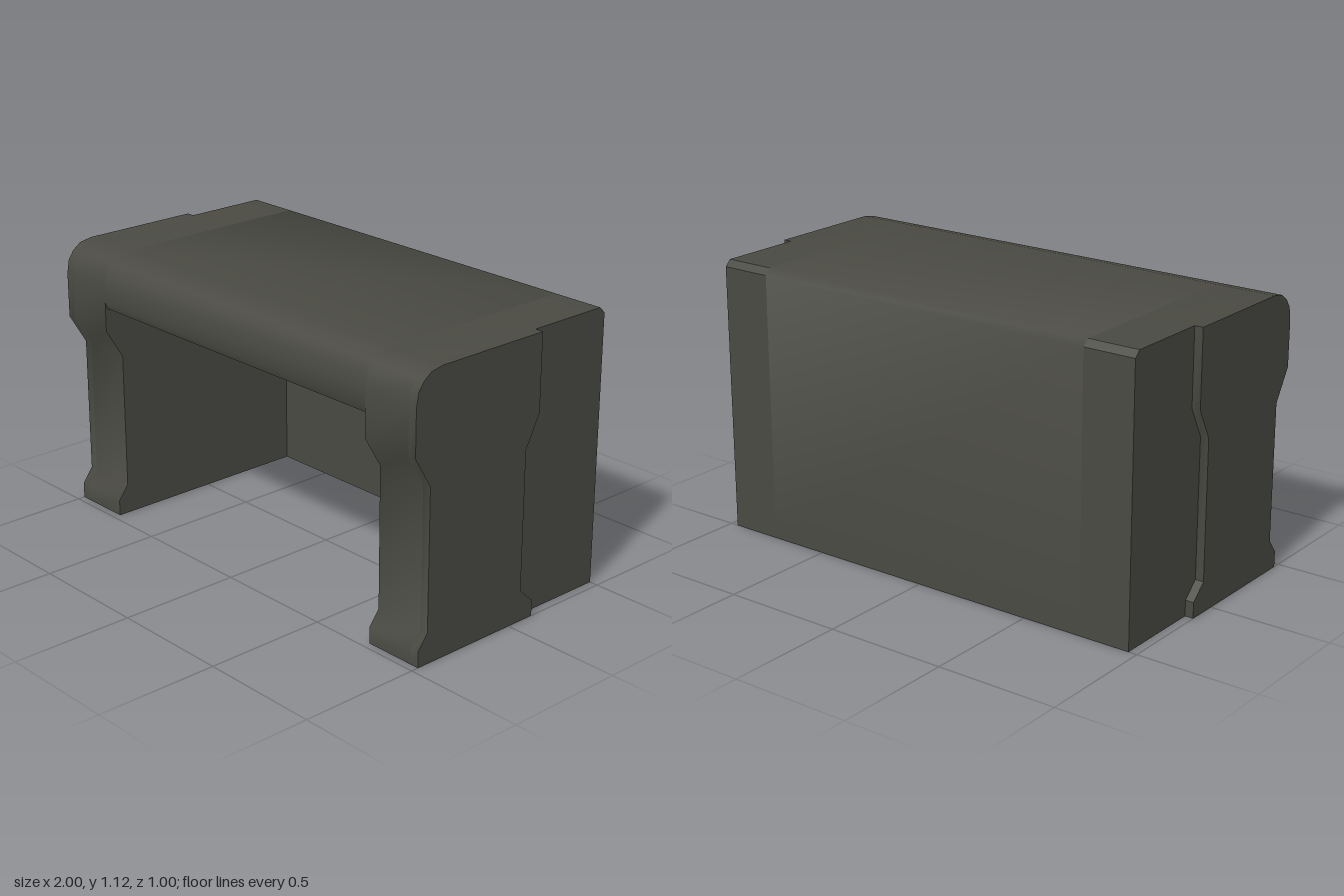
import * as THREE from 'three';
import { toCreasedNormals } from 'three/addons/utils/BufferGeometryUtils.js';

const charcoal = new THREE.MeshStandardMaterial({ color: 0x4a4a43 });
charcoal.name = 'charcoal';

// Profiles are [z, y] points, extruded across x.
const roundedNose = [[0.5, 1.0], [0.49, 1.055], [0.465, 1.09], [0.43, 1.115], [0.375, 1.125]];
const legFront = [[0.47, 0], [0.47, 0.065], [0.425, 0.125], [0.425, 0.69], [0.5, 0.815], ...roundedNose];
const backEdge = [[-0.475, 1.125], [-0.5, 1.1], [-0.5, 0]];
const panelStep = [[-0.125, 1.125], [-0.125, 0.815], [-0.06, 0.69], [-0.06, 0.125], [-0.125, 0.065], [-0.125, 0]];

function slab(name, profile, x0, x1, crease) {
  const shape = new THREE.Shape(profile.map(([z, y]) => new THREE.Vector2(z, y)));
  const geometry = new THREE.ExtrudeGeometry(shape, { depth: x1 - x0, bevelEnabled: false });
  geometry.rotateY(-Math.PI / 2).translate(x1, 0, 0);
  const mesh = new THREE.Mesh(toCreasedNormals(geometry, crease), charcoal);
  mesh.name = name;
  return mesh;
}

export function createModel() {
  const desk = new THREE.Group();
  desk.name = 'desk';

  // Thick top running down into a thin back panel
  desk.add(slab('topAndBackPanel', [
    [0.49, 0.908], [0.5, 0.935], ...roundedNose, ...backEdge, [-0.45, 0], [-0.45, 0.908],
  ], -0.75, 0.75, 0.9));

  // Side pedestals, each with a raised outer plate towards the front
  for (const [side, s] of [['left', 1], ['right', -1]]) {
    const add = (name, profile, a, b) =>
      desk.add(slab(name, profile, Math.min(s * a, s * b), Math.max(s * a, s * b), 0.7));
    add(side + 'Pedestal', [...legFront, ...backEdge], 0.75, 0.965);
    add(side + 'OuterPlate', [...legFront, ...panelStep], 0.965, 1);
  }
  return desk;
}
